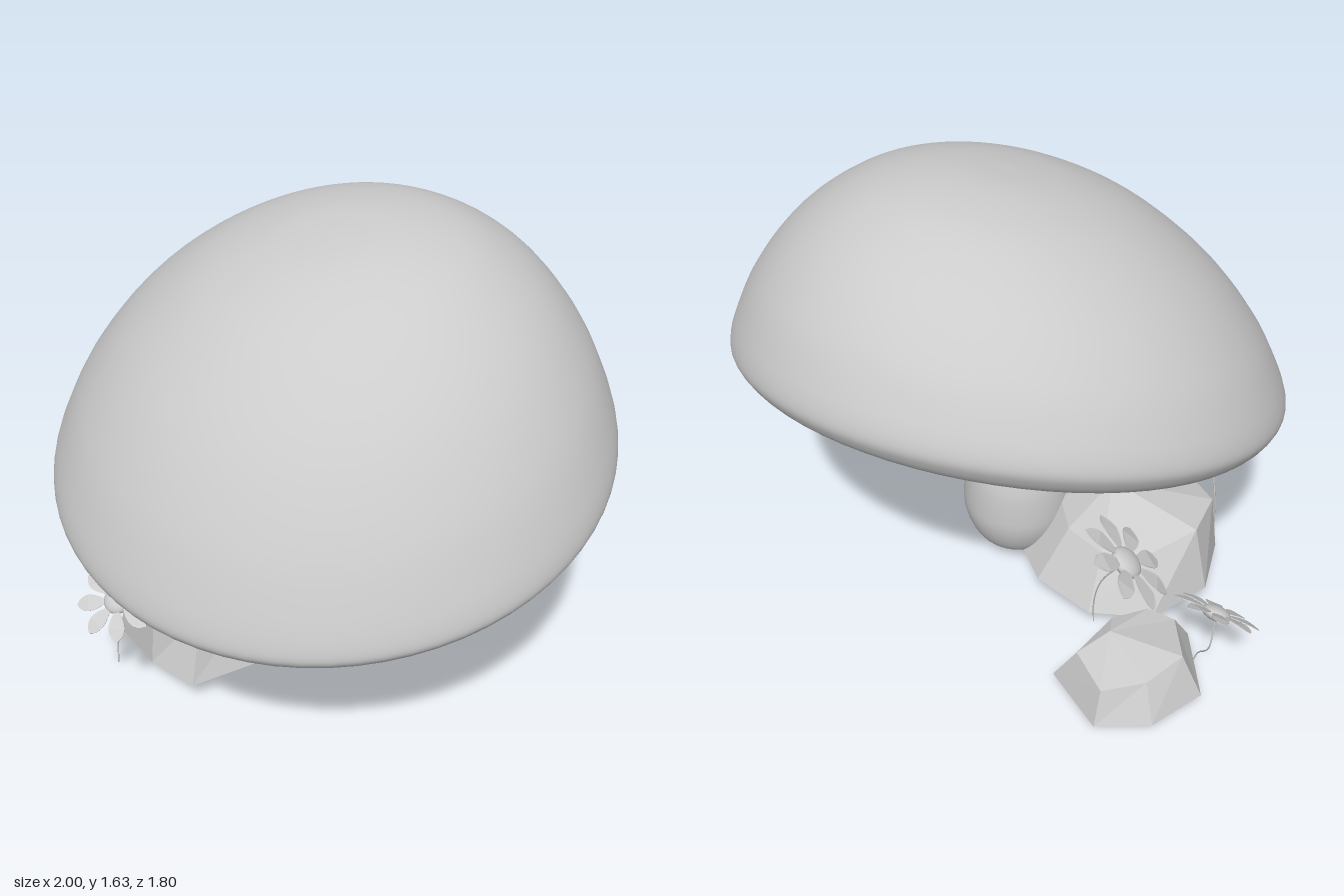
import * as THREE from 'three';
import { mergeVertices } from 'three/addons/utils/BufferGeometryUtils.js';

const V3 = (a) => new THREE.Vector3(...a);
const smoothMat = new THREE.MeshStandardMaterial({ color: 0xcccccc, side: THREE.DoubleSide });
const facetMat = new THREE.MeshStandardMaterial({ color: 0xcccccc, side: THREE.DoubleSide, flatShading: true });

function mesh(name, geometry, material = smoothMat) {
  const m = new THREE.Mesh(geometry, material);
  m.name = name;
  return m;
}

// Smooth lathe whose vertices are then moved by a rule
function bentLathe(profile, steps, sides, rule) {
  const curve = new THREE.SplineCurve(profile.map((p) => new THREE.Vector2(...p)));
  const pts = curve.getPoints(steps);
  pts.forEach((p) => { p.x = Math.max(p.x, 0); });
  let g = new THREE.LatheGeometry(pts, sides);
  g.deleteAttribute('uv');
  g.deleteAttribute('normal');
  g = mergeVertices(g, 1e-5);
  const pos = g.attributes.position;
  const v = new THREE.Vector3();
  for (let i = 0; i < pos.count; i++) {
    rule(v.fromBufferAttribute(pos, i));
    pos.setXYZ(i, v.x, v.y, v.z);
  }
  g.computeVertexNormals();
  return g;
}

// Hollow cap: inner ceiling, rolled lip, outer dome; slanted, and lifted at the back
function makeCap() {
  const profile = [
    [0, 1.2], [0.25, 1.175], [0.48, 1.09], [0.66, 0.965], [0.77, 0.87],
    [0.835, 0.823], [0.88, 0.818], [0.915, 0.85], [0.927, 0.9], [0.895, 1.0], [0.82, 1.15],
    [0.7, 1.31], [0.56, 1.435], [0.4, 1.53], [0.2, 1.59], [0, 1.605],
  ];
  return mesh('cap', bentLathe(profile, 96, 72, (v) => {
    const { x, z } = v;
    const r = Math.hypot(x, z) / 0.93;
    const back = Math.max(0, -0.5 * x - 0.85 * z);
    v.y += 0.04 * back * back - 0.222 * z - (0.11 * r * r - 0.005) * x;
    v.x = x - 0.013 * z + 0.073;
    v.z = 0.972 * z - 0.013 * x;
  }));
}

// Bulbous stalk with a slight bow, flaring where it meets the cap
function makeStalk() {
  const profile = [
    [0, 0.06], [0.09, 0.06], [0.15, 0.085], [0.19, 0.16], [0.204, 0.25], [0.185, 0.36], [0.142, 0.48],
    [0.11, 0.62], [0.083, 0.77], [0.066, 0.93], [0.06, 1.06], [0.075, 1.14], [0.12, 1.2],
  ];
  return mesh('stalk', bentLathe(profile, 60, 40, (v) => {
    const h = Math.max(0, v.y - 0.25);
    const t = h * h / (h + 0.08);
    v.x += 0.107 - 0.16 * t + 0.2 * t * t;
    v.z += 0.058 - 0.18 * t + 0.19 * t * t;
  }));
}

// Faceted rock: base ring, shoulder ring and a top point, open underneath
function makeRock(name, base, shoulder, peak) {
  const n = base.length;
  const tri = [];
  for (let i = 0; i < n; i++) {
    const j = (i + 1) % n;
    tri.push(base[i], base[j], shoulder[j], base[i], shoulder[j], shoulder[i]);
    tri.push(shoulder[i], shoulder[j], peak);
  }
  const g = new THREE.BufferGeometry().setFromPoints(tri.map(V3));
  g.computeVertexNormals();
  return mesh(name, g, facetMat);
}

// Flower: thin curved stem, domed centre and a ring of pointed petals
function makeFlower(name, path, normal, size) {
  const flower = new THREE.Group();
  flower.name = name;
  const curve = new THREE.CatmullRomCurve3(path.map(V3));
  flower.add(mesh('flowerStem', new THREE.TubeGeometry(curve, 24, 0.0025, 6)));

  const head = new THREE.Group();
  head.name = 'flowerHead';
  head.position.copy(curve.getPoint(1));
  head.quaternion.setFromUnitVectors(new THREE.Vector3(0, 1, 0), V3(normal).normalize());
  head.scale.setScalar(size);
  const centre = mesh('flowerCentre', new THREE.SphereGeometry(0.33, 20, 12));
  centre.scale.y = 0.5;
  head.add(centre);

  const outline = new THREE.Shape();
  outline.moveTo(0.2, 0);
  outline.bezierCurveTo(0.45, 0.17, 0.8, 0.34, 1, 0);
  outline.bezierCurveTo(0.8, -0.34, 0.45, -0.17, 0.2, 0);
  const petal = new THREE.ExtrudeGeometry(outline, { depth: 0.015, bevelEnabled: false, curveSegments: 10 });
  petal.rotateX(-Math.PI / 2);
  // Petals arch gently and cup along their length
  const p = petal.attributes.position;
  for (let i = 0; i < p.count; i++) {
    const x = p.getX(i), z = p.getZ(i);
    p.setY(i, p.getY(i) + 0.15 * x * (1 - x) + 0.5 * z * z);
  }
  petal.computeVertexNormals();
  const petals = 8;
  for (let i = 0; i < petals; i++) {
    const m = mesh('petal', petal);
    m.rotation.y = (i / petals) * Math.PI * 2;
    head.add(m);
  }
  flower.add(head);
  return flower;
}

export function createModel() {
  const model = new THREE.Group();
  model.name = 'mushroomScene';
  model.add(makeCap(), makeStalk());

  // Rings run from the front, turning towards +x
  model.add(makeRock('largeRock',
    [[-0.2, 0.085, 0.6], [0, 0.09, 0.58], [0.07, 0.09, 0.3], [0.03, 0.09, 0], [-0.18, 0.09, -0.07],
      [-0.42, 0.09, -0.03], [-0.57, 0.09, 0.13], [-0.57, 0.09, 0.38], [-0.42, 0.085, 0.57]],
    [[-0.19, 0.305, 0.585], [-0.04, 0.33, 0.5], [0, 0.33, 0.28], [-0.06, 0.3, 0.12], [-0.2, 0.28, 0.05],
      [-0.36, 0.27, 0.07], [-0.47, 0.28, 0.18], [-0.51, 0.325, 0.37], [-0.41, 0.31, 0.54]],
    [-0.23, 0.435, 0.22]));
  model.add(makeRock('smallRock',
    [[-0.7, 0.09, 0.18], [-0.58, 0.09, 0.1], [-0.55, 0.09, -0.08], [-0.57, 0.09, -0.3],
      [-0.82, 0.085, -0.33], [-0.93, 0.09, -0.18], [-0.93, 0.09, 0.03]],
    [[-0.71, 0.215, 0.1], [-0.63, 0.23, 0.05], [-0.6, 0.24, -0.08], [-0.64, 0.225, -0.26],
      [-0.8, 0.205, -0.29], [-0.87, 0.22, -0.16], [-0.87, 0.245, -0.01]],
    [-0.66, 0.265, -0.14]));

  model.add(makeFlower('sideFlower',
    [[-0.76, 0.005, 0.14], [-0.78, 0.08, 0.15], [-0.86, 0.2, 0.12], [-0.85, 0.33, 0.145]],
    [0.15, 0.8, 0.58], 0.15));
  model.add(makeFlower('backFlower',
    [[-0.46, 0.09, -0.04], [-0.47, 0.2, -0.05], [-0.52, 0.34, -0.06], [-0.61, 0.475, -0.04]],
    [-0.4, 0.75, 0.5], 0.18));
  model.add(makeFlower('frontFlower',
    [[-0.32, 0.045, 0.66], [-0.315, 0.18, 0.655], [-0.27, 0.33, 0.67], [-0.16, 0.455, 0.745]],
    [0.3, 0.75, 0.62], 0.14));
  return model;
}
